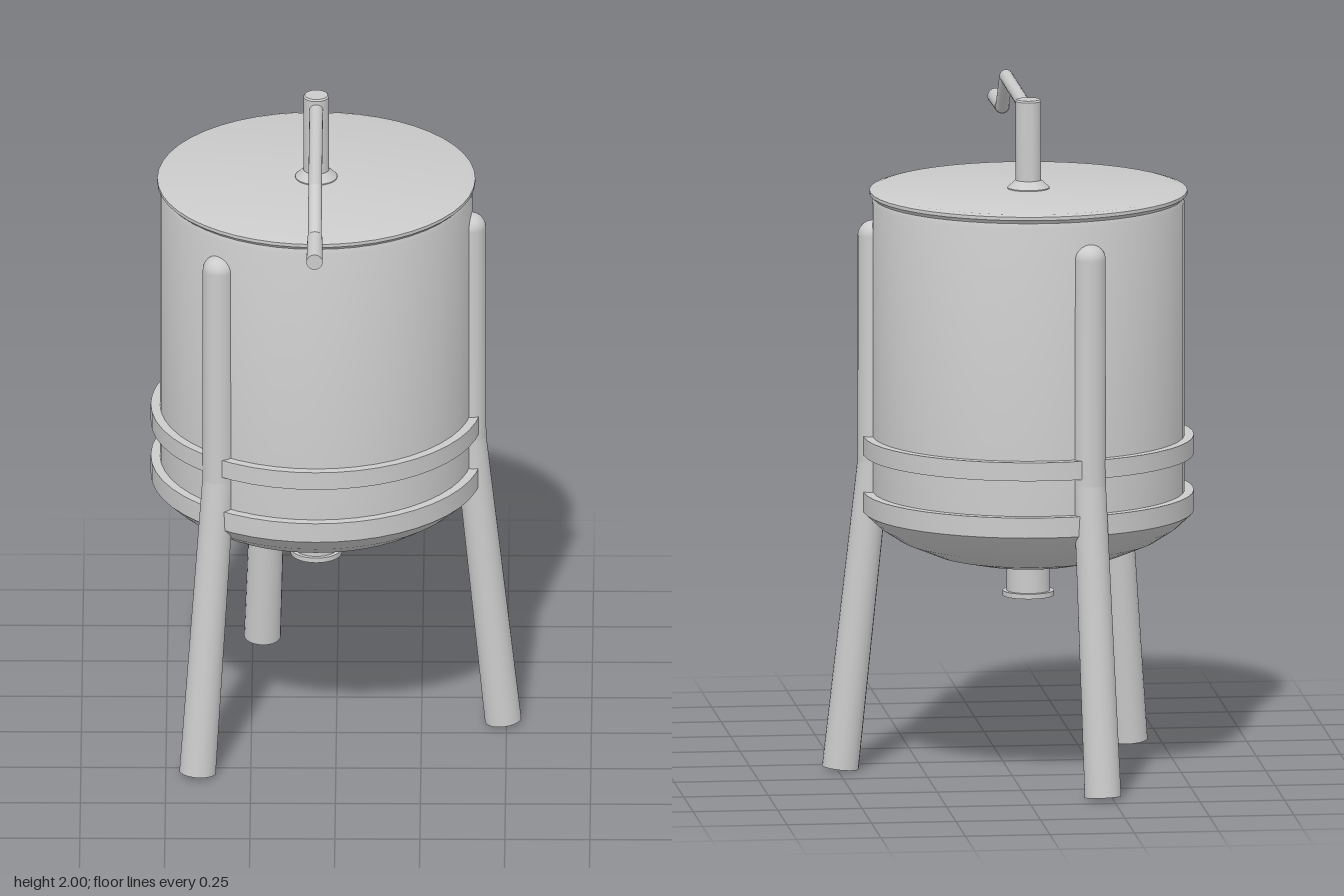
import * as THREE from 'three';
import { toCreasedNormals } from 'three/addons/utils/BufferGeometryUtils.js';

const material = new THREE.MeshStandardMaterial({ color: 0xcccccc });
const UP = new THREE.Vector3(0, 1, 0);

function part(geometry, name) {
  const mesh = new THREE.Mesh(geometry, material);
  mesh.name = name;
  return mesh;
}

// Turned part: profile of [radius, height] pairs from bottom to top
function turned(profile, name, segments = 48) {
  const points = profile.map(([r, y]) => new THREE.Vector2(r, y));
  return part(toCreasedNormals(new THREE.LatheGeometry(points, segments), 0.5), name);
}

// Round bar between two points
function bar(from, to, rFrom, rTo, name) {
  const a = new THREE.Vector3(...from);
  const b = new THREE.Vector3(...to);
  const dir = b.clone().sub(a);
  const mesh = part(new THREE.CylinderGeometry(rTo, rFrom, dir.length(), 24), name);
  mesh.position.copy(a).addScaledVector(dir, 0.5);
  mesh.quaternion.setFromUnitVectors(UP, dir.normalize());
  return mesh;
}

function ball(position, r, name, squash = 1) {
  const mesh = part(new THREE.SphereGeometry(r, 24, 16), name);
  mesh.position.set(...position);
  mesh.scale.y = squash;
  return mesh;
}

// Leg in the x-y plane: upright against the drum, splayed below the kink
function makeLeg() {
  const leg = new THREE.Group();
  leg.name = 'leg';
  const kink = [0.455, 0.92, 0];
  leg.add(
    bar([0.553, 0.006, 0], kink, 0.054, 0.048, 'lowerLeg'),
    bar(kink, [0.455, 1.597, 0], 0.048, 0.047, 'upperLeg'),
    ball(kink, 0.048, 'legBend'),
    ball([0.455, 1.597, 0], 0.047, 'legCap', 0.92)
  );
  return leg;
}

export function createModel() {
  const model = new THREE.Group();
  model.name = 'crankDrum';
  // Everything is arranged around the drum axis
  const body = new THREE.Group();
  body.name = 'body';
  body.position.set(-0.06, 0, -0.14);
  model.add(body);

  // Drum with dished bottom
  body.add(
    turned([[0.46, 0.77], [0.46, 1.695], [0.455, 1.71], [0, 1.71]], 'drum'),
    turned([[0, 0.615], [0.08, 0.617], [0.18, 0.627], [0.28, 0.65], [0.38, 0.692],
      [0.44, 0.731], [0.487, 0.775]], 'bowl')
  );

  // Two bands around the drum
  for (const [low, high] of [[0.775, 0.835], [0.945, 1.0]]) {
    body.add(turned([[0.455, low], [0.487, low], [0.487, high], [0.455, high]], 'band'));
  }

  // Lid with a tapered underside
  body.add(turned([[0.452, 1.70], [0.455, 1.708], [0.468, 1.72], [0.468, 1.73],
    [0.45, 1.735], [0, 1.735]], 'lid'));

  // Outlet under the bowl
  body.add(turned([[0, 0.52], [0.076, 0.52], [0.076, 0.535], [0.064, 0.535], [0.064, 0.64]],
    'outlet', 32));

  // Legs
  for (const degrees of [6, 128.8, 253]) {
    const leg = makeLeg();
    leg.rotation.y = -THREE.MathUtils.degToRad(degrees);
    body.add(leg);
  }

  // Crank: flared collar, upright shaft, arm and handle
  const crank = new THREE.Group();
  crank.name = 'crank';
  const elbow = [0, 1.965, 0.59];
  const wrist = [0, 1.857, 0.695];
  crank.add(
    turned([[0.062, 1.73], [0.062, 1.738], [0.038, 1.76]], 'collar', 32),
    turned([[0.038, 1.74], [0.038, 1.995], [0.034, 2], [0, 2]], 'shaft', 32),
    bar([0, 1.965, 0], elbow, 0.02, 0.02, 'arm'),
    ball(elbow, 0.02, 'elbow'),
    bar(elbow, wrist, 0.02, 0.02, 'armBend'),
    ball(wrist, 0.02, 'wrist'),
    bar(wrist, [0, 1.857, 0.87], 0.022, 0.024, 'handle')
  );
  body.add(crank);

  return model;
}
